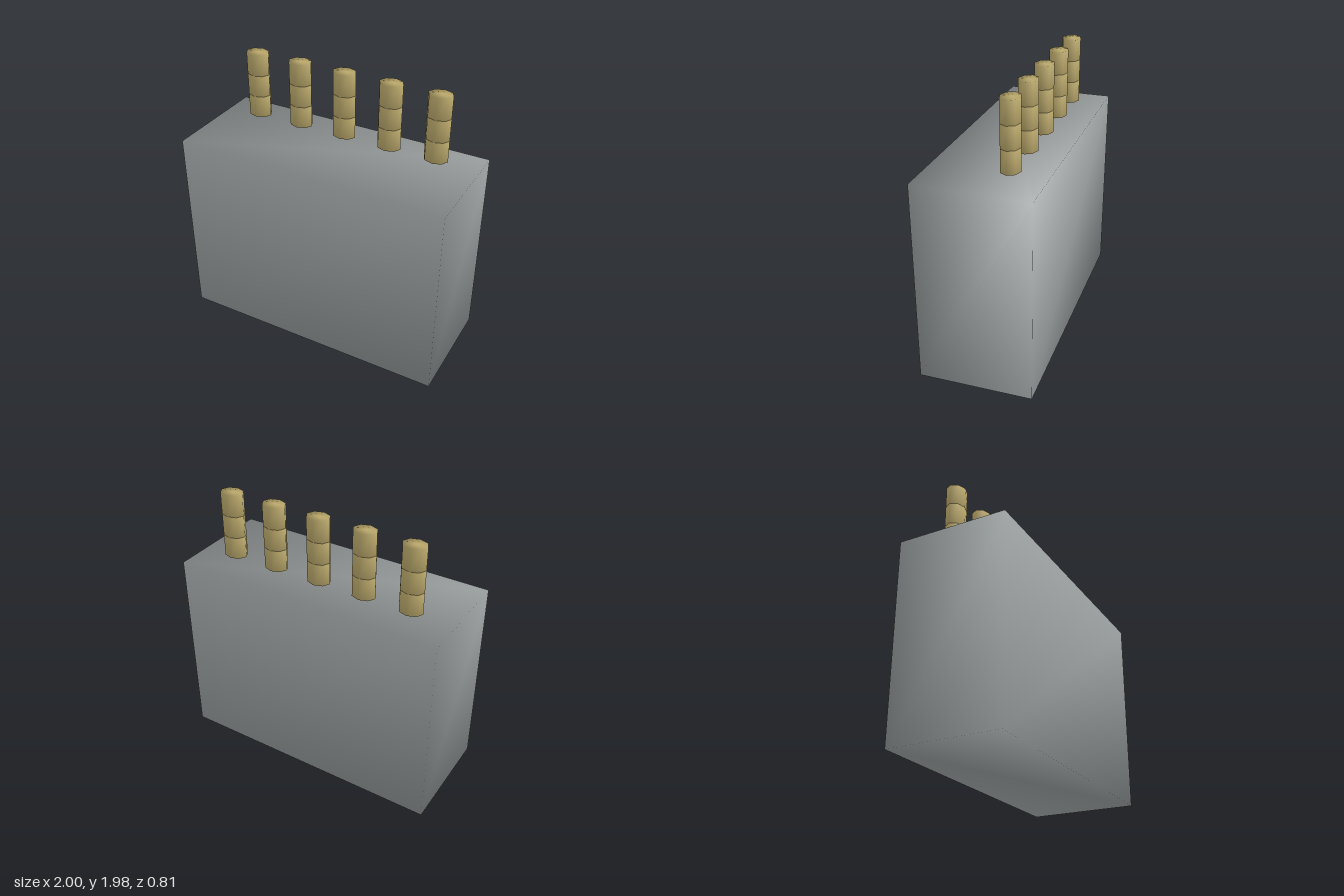
import * as THREE from 'three';
import { mergeVertices } from 'three/addons/utils/BufferGeometryUtils.js';

// Welds corners so shading runs smoothly across every edge
function soften(geometry) {
  geometry.deleteAttribute('normal');
  geometry.deleteAttribute('uv');
  const welded = mergeVertices(geometry, 1e-4);
  welded.computeVertexNormals();
  return welded;
}

export function createModel() {
  const model = new THREE.Group();
  model.name = 'blockWithPosts';
  const grey = new THREE.MeshStandardMaterial({ color: 0x9a9fa0 });
  const gold = new THREE.MeshStandardMaterial({ color: 0xbba96c });

  // Main block
  const blockHeight = 1.455;
  const block = new THREE.Mesh(soften(new THREE.BoxGeometry(2, blockHeight, 0.805)), grey);
  block.name = 'block';
  block.position.y = blockHeight / 2;
  model.add(block);

  // Row of five floating posts, each a stack of three oval eight-sided segments
  const segmentHeight = 0.161;
  const segmentGeometry = soften(
    new THREE.CylinderGeometry(1, 1, segmentHeight, 8).scale(0.0875, 1, 0.07)
  );
  for (let i = -2; i <= 2; i++) {
    const post = new THREE.Group();
    post.name = `post${i + 3}`;
    post.position.set(i * 0.35, 1.5, -0.163);
    for (let j = 0; j < 3; j++) {
      const segment = new THREE.Mesh(segmentGeometry, gold);
      segment.name = `postSegment${j + 1}`;
      segment.position.y = (j + 0.5) * segmentHeight;
      post.add(segment);
    }
    model.add(post);
  }
  return model;
}
